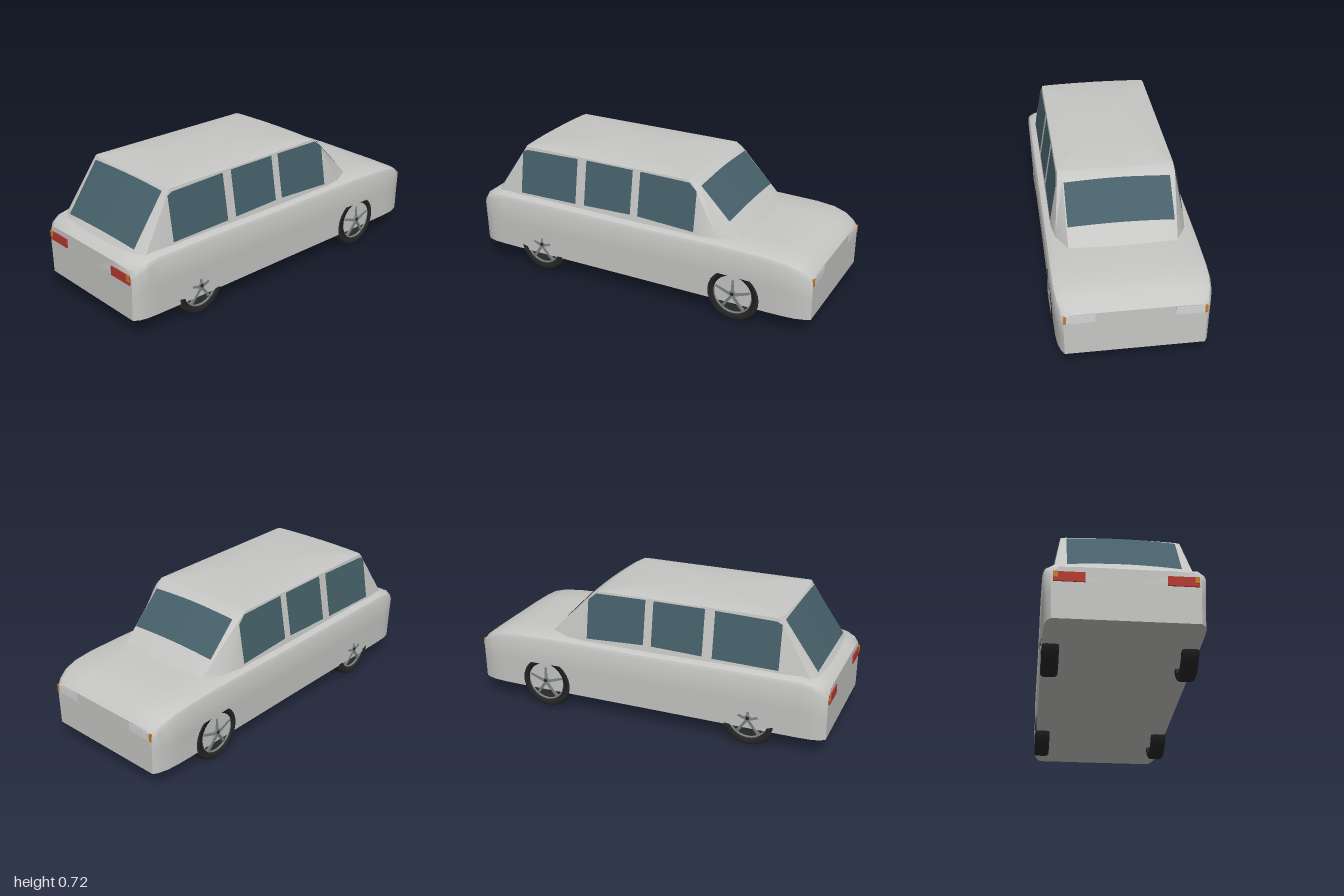
import * as THREE from 'three';
import { toCreasedNormals } from 'three/addons/utils/BufferGeometryUtils.js';

const mat = (name, color, double) => {
  const m = new THREE.MeshStandardMaterial({ color });
  m.name = name;
  if (double) m.side = THREE.DoubleSide;
  return m;
};

// Mirror a half outline (starting and ending on x = 0) into a closed loop.
const mirrorLoop = half => [
  ...half,
  ...half.slice(1, -1).reverse().map(([x, y, z]) => [-x, y, z]),
];

// Skin a list of equal-length loops and close both ends.
function loft(rings, crease) {
  const n = rings[0].length;
  const pos = rings.flat(2);
  const idx = [];
  for (let r = 0; r < rings.length - 1; r++) {
    for (let i = 0; i < n; i++) {
      const j = (i + 1) % n, a = r * n, b = a + n;
      idx.push(a + i, a + j, b + j, a + i, b + j, b + i);
    }
  }
  const cap = (ring, start, flip) => {
    const c = pos.length / 3;
    for (let k = 0; k < 3; k++) pos.push(ring.reduce((s, p) => s + p[k], 0) / n);
    for (let i = 0; i < n; i++) {
      const p = start + i, q = start + (i + 1) % n;
      idx.push(c, flip ? q : p, flip ? p : q);
    }
  };
  cap(rings[0], 0, true);
  cap(rings.at(-1), (rings.length - 1) * n, false);
  const g = new THREE.BufferGeometry();
  g.setAttribute('position', new THREE.Float32BufferAttribute(pos, 3));
  g.setIndex(idx);
  return toCreasedNormals(g, crease);
}

const lerp = THREE.MathUtils.lerp;
const bow = x => 0.15 * x * x;                     // curve of the end windows
const sideX = y => lerp(0.35, 0.305, (y - 0.43) / 0.27);
const rearZ = y => lerp(0.92, 0.73, (y - 0.43) / 0.27);
const frontZ = y => y > 0.675 ? lerp(-0.345, -0.3, (y - 0.675) / 0.025)
  : lerp(-0.585, -0.345, (y - 0.43) / 0.245);

function bodyGeometry() {
  // z, half width at the sill, half width at the belt, shoulder y, top y
  const stations = [
    [-0.995, 0.345, 0.350, 0.325, 0.337], [-0.97, 0.360, 0.366, 0.347, 0.362],
    [-0.92, 0.374, 0.381, 0.375, 0.390], [-0.85, 0.380, 0.389, 0.395, 0.408],
    [-0.75, 0.381, 0.391, 0.405, 0.418], [-0.55, 0.381, 0.391, 0.410, 0.426],
    [0, 0.380, 0.390, 0.406, 0.422], [0.6, 0.381, 0.392, 0.410, 0.428],
    [0.85, 0.379, 0.390, 0.408, 0.425], [0.92, 0.376, 0.387, 0.395, 0.413],
    [0.965, 0.365, 0.375, 0.370, 0.394], [0.99, 0.345, 0.352, 0.340, 0.372],
  ];
  return loft(stations.map(([z, wb, w, ys, top]) => mirrorLoop([
    [0, 0.1, z], [wb, 0.1, z], [lerp(wb, w, 0.5), lerp(0.1, ys, 0.5), z],
    [w, ys - 0.02, z], [w - 0.009, ys, z], [w - 0.035, top - 0.003, z],
    [0.2, top, z], [0, top, z],
  ])), 0.6);
}

function cabinGeometry() {
  const ring = y => {
    const t = (y - 0.43) / 0.27, X = sideX(y), zr = rearZ(y), zf = frontZ(y);
    return mirrorLoop([
      ...[0, 0.1, 0.2, 0.28].map(x => [x, y, zr - bow(x)]),
      [lerp(0.335, 0.302, t), y, zr - lerp(0.04, 0.018, t)],
      [X, y, lerp(0.74, 0.7, t)], [X, y, 0.2], [X, y, lerp(-0.36, -0.27, t)],
      [lerp(0.335, 0.303, t), y, zf + lerp(0.12, 0.018, t)],
      ...[0.28, 0.2, 0.1, 0].map(x => [x, y, zf + bow(x)]),
    ]);
  };
  const rings = [0.38, 0.43, 0.675, 0.7].map(ring);
  // crowned roof
  for (const k of [0.96, 0.85, 0.65, 0.4, 0.15]) {
    rings.push(ring(0.7).map(([x, , z]) =>
      [x * k, 0.7 + 0.022 * (1 - k ** 3), 0.215 + (z - 0.215) * k]));
  }
  return loft(rings, 0.55);
}

// Curved window following the front or rear slope of the cabin.
function endWindow(y0, y1, zAt, dir) {
  const g = new THREE.PlaneGeometry(0.55, 1, 11, 1);
  const p = g.attributes.position;
  for (let i = 0; i < p.count; i++) {
    const x = p.getX(i);
    const y = (p.getY(i) > 0 ? y1 : y0) + 0.01 * (1 - (x / 0.275) ** 2);
    p.setXYZ(i, x, y, zAt(y) + dir * (0.005 - bow(x)));
  }
  g.computeVertexNormals();
  return g;
}

// Flat side window from (z, y) corners, leaned onto the cabin side.
function sideWindow(corners, side) {
  const g = new THREE.ShapeGeometry(
    new THREE.Shape(corners.map(c => new THREE.Vector2(...c))));
  const p = g.attributes.position;
  for (let i = 0; i < p.count; i++) {
    const z = p.getX(i), y = p.getY(i);
    p.setXYZ(i, side * (sideX(y) + 0.003), y, z);
  }
  if (side > 0) g.setIndex([...g.index.array].reverse());
  g.computeVertexNormals();
  return g;
}

export function createModel() {
  const car = new THREE.Group();
  car.name = 'car';
  const paint = mat('light grey paint', 0xc6c6c4);
  const glass = mat('tinted glass', 0x466069, true);
  const red = mat('red lamp', 0xb63a32);
  const amber = mat('amber lamp', 0xc47c2c);
  const clear = mat('clear lamp', 0xd4d4d4);
  const rubber = mat('black rubber', 0x262626, true);
  const metal = mat('wheel metal', 0x7c8385);

  const add = (parent, name, geometry, material, x = 0, y = 0, z = 0) => {
    const m = new THREE.Mesh(geometry, material);
    m.name = name;
    m.position.set(x, y, z);
    parent.add(m);
    return m;
  };
  const box = (w, h, d) => new THREE.BoxGeometry(w, h, d);

  add(car, 'body', bodyGeometry(), paint);
  add(car, 'cabin', cabinGeometry(), paint);
  add(car, 'rearWindow', endWindow(0.431, 0.685, rearZ, 1), glass);
  add(car, 'windscreen', endWindow(0.502, 0.668, frontZ, -1), glass);

  const sideWindows = [
    [[0.73, 0.437], [0.375, 0.442], [0.375, 0.69], [0.7, 0.683], [0.73, 0.67]],
    [[0.32, 0.445], [0.035, 0.452], [0.035, 0.692], [0.32, 0.692]],
    [[-0.01, 0.452], [-0.34, 0.437], [-0.34, 0.65], [-0.295, 0.688], [-0.01, 0.692]],
  ];

  // Wheel profiles: radius, offset along the axle
  const tyre = new THREE.LatheGeometry([
    [0.108, -0.042], [0.138, -0.042], [0.147, -0.036], [0.151, -0.022],
    [0.151, 0.022], [0.147, 0.036], [0.138, 0.042], [0.108, 0.042], [0.108, -0.042],
  ].map(p => new THREE.Vector2(...p)), 28);
  tyre.rotateZ(-Math.PI / 2);
  const rim = new THREE.TorusGeometry(0.106, 0.006, 8, 28).rotateY(Math.PI / 2);
  const hub = new THREE.CylinderGeometry(0.018, 0.024, 0.05, 12).rotateZ(-Math.PI / 2);
  const hubCap = new THREE.CylinderGeometry(0.01, 0.01, 0.006, 12).rotateZ(-Math.PI / 2);

  for (const s of [1, -1]) {
    const side = s > 0 ? 'left' : 'right';
    sideWindows.forEach((w, i) => add(car, `${side}Window${i + 1}`, sideWindow(w, s), glass));

    // lamps
    add(car, `${side}TailLamp`, box(0.15, 0.05, 0.008), red, s * 0.267, 0.317, 0.992);
    add(car, `${side}RearIndicator`, box(0.022, 0.032, 0.006), amber, s * 0.331, 0.326, 0.995);
    add(car, `${side}HeadLamp`, box(0.14, 0.042, 0.008), clear, s * 0.265, 0.308, -0.994);
    add(car, `${side}FrontIndicator`, box(0.014, 0.042, 0.01), amber, s * 0.342, 0.308, -0.994);

    // wheels
    for (const [end, z, x] of [['Front', -0.584, 0.344], ['Rear', 0.588, 0.339]]) {
      const wheel = new THREE.Group();
      wheel.name = `${side}${end}Wheel`;
      wheel.position.set(s * x, 0.152, z);
      wheel.rotation.y = s > 0 ? 0 : Math.PI;
      add(wheel, 'tyre', tyre, rubber);
      add(wheel, 'rim', rim, metal, 0.034);
      add(wheel, 'hub', hub, metal, 0.024, 0.008);
      add(wheel, 'hubCap', hubCap, rubber, 0.048, 0.008);
      for (let i = 0; i < 5; i++) {
        const spoke = new THREE.Group();
        spoke.name = `spoke${i + 1}`;
        spoke.rotation.x = i * Math.PI * 2 / 5;
        const bar = add(spoke, 'spokeBar', box(0.012, 0.1, 0.014), metal, 0.038, 0.058);
        bar.rotation.z = 0.1;
        wheel.add(spoke);
      }
      car.add(wheel);
    }
  }
  return car;
}
